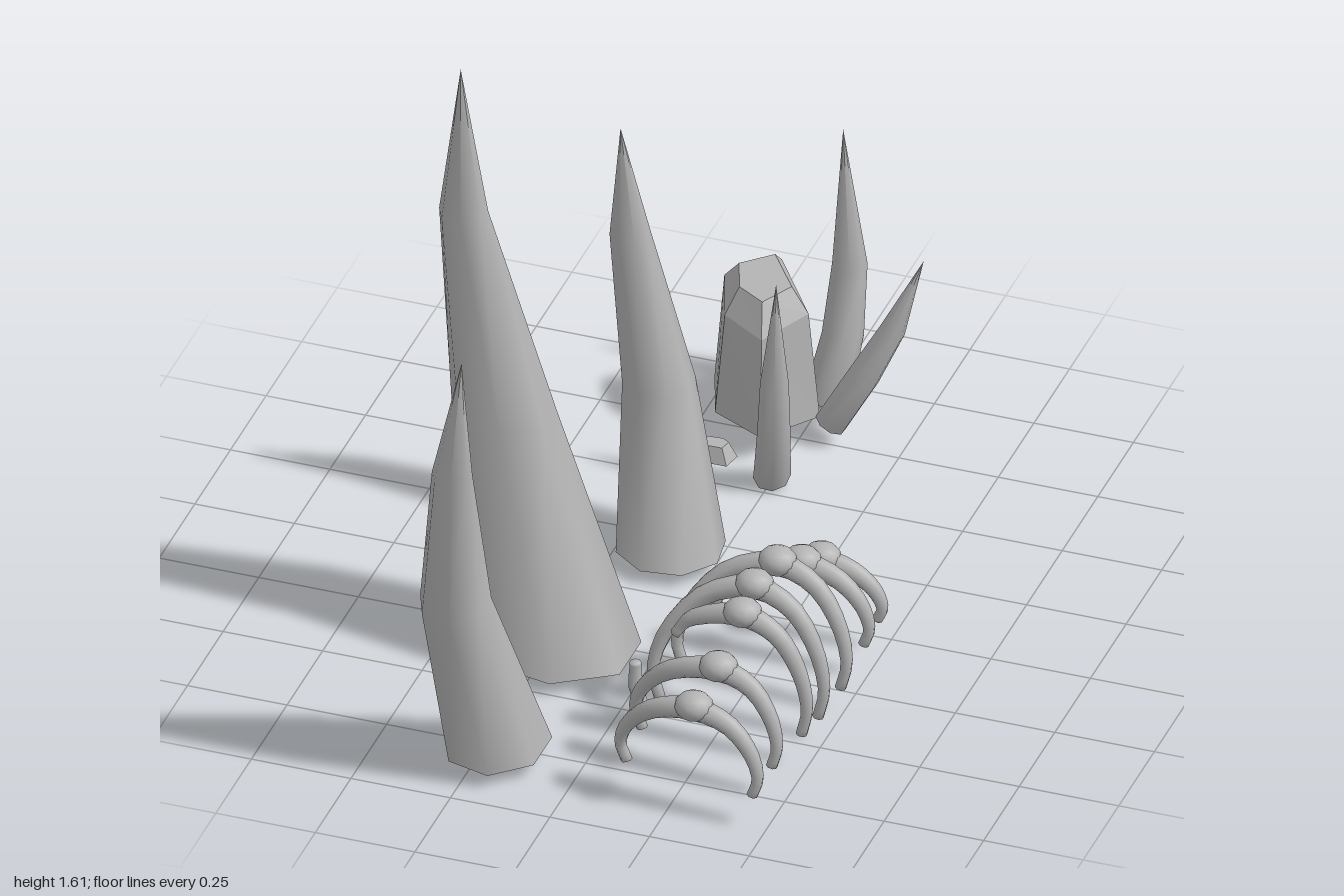
import * as THREE from 'three';

const bone = new THREE.MeshStandardMaterial({ color: 0xb4b4b4, side: THREE.DoubleSide });
bone.name = 'boneGrey';

// Skin through rings [x, y, z, rx, rz, roll about z, slope of y along z]
function loft(rings, sides, phase = Math.PI / 7) {
  const pos = [], idx = [];
  rings.forEach(([x, y, z, rx, rz, roll = 0, slope = 0], i) => {
    for (let j = 0; j < sides; j++) {
      const t = phase + (j / sides) * Math.PI * 2;
      const u = Math.cos(t) * rx, w = Math.sin(t) * rz;
      pos.push(x + u * Math.cos(roll), y + u * Math.sin(roll) + slope * w, z + w);
      if (i === rings.length - 1) continue;
      const a = i * sides + j, b = i * sides + (j + 1) % sides;
      idx.push(a, a + sides, b, b, a + sides, b + sides);
    }
  });
  const g = new THREE.BufferGeometry();
  g.setAttribute('position', new THREE.Float32BufferAttribute(pos, 3));
  g.setIndex(idx);
  g.computeVertexNormals();
  return g;
}

function add(parent, name, geometry) {
  const m = new THREE.Mesh(geometry, bone);
  m.name = name;
  parent.add(m);
  return m;
}

// Round tube along a list of points, thickest at parameter `peak`, closed at both ends
function taperedTube(points, thick, thin, peak) {
  const curve = new THREE.CatmullRomCurve3(points.map(p => new THREE.Vector3(...p)));
  const rings = [], n = 22;
  for (let i = 0; i <= n; i++) {
    const t = i / n, p = curve.getPoint(t), d = curve.getTangent(t);
    const k = Math.abs(t - peak) / (t < peak ? peak : 1 - peak || 1);
    const r = thick + (thin - thick) * Math.min(1, k * 1.3);
    const roll = Math.atan2(-d.x, d.y);
    if (i === 0) rings.push([p.x, p.y, p.z, 0, 0, roll]);
    rings.push([p.x, p.y, p.z, r, r, roll]);
    if (i === n) rings.push([p.x, p.y, p.z, 0, 0, roll]);
  }
  return loft(rings, 8);
}

// Faceted stone: base outline [x, z], shrunk and raised ring by ring
function stone(outline, cx, cz, levels) {
  const n = outline.length;
  const pts = levels.map(([s, y, slope]) => outline.map(([x, z]) =>
    [cx + (x - cx) * s, y + slope * (z - cz) * s, cz + (z - cz) * s]));
  const pos = [];
  for (let i = 0; i < pts.length - 1; i++) {
    for (let j = 0; j < n; j++) {
      const k = (j + 1) % n, a = pts[i][j], b = pts[i][k], c = pts[i + 1][j], d = pts[i + 1][k];
      pos.push(...a, ...b, ...c, ...b, ...d, ...c);
    }
  }
  const g = new THREE.BufferGeometry();
  g.setAttribute('position', new THREE.Float32BufferAttribute(pos, 3));
  g.computeVertexNormals();
  return g;
}

export function createModel() {
  const model = new THREE.Group();
  model.name = 'boneField';

  // Large hollow tusks, open at the bottom
  add(model, 'largeTusk', loft([
    [-0.225, 0.035, 0.335, 0.21, 0.175],
    [-0.375, 0.62, 0.278, 0.13, 0.11],
    [-0.467, 1.18, 0.305, 0.06, 0.058],
    [-0.455, 1.615, 0.355, 0, 0]], 7));
  add(model, 'frontTusk', loft([
    [-0.21, 0.035, 0.785, 0.128, 0.15],
    [-0.28, 0.48, 0.888, 0.086, 0.1],
    [-0.262, 0.88, 0.957, 0.05, 0.044],
    [-0.238, 1.2, 0.955, 0, 0]], 7));
  add(model, 'middleTusk', loft([
    [-0.11, 0.035, -0.155, 0.133, 0.13],
    [-0.17, 0.44, -0.24, 0.09, 0.082],
    [-0.248, 0.83, -0.255, 0.05, 0.046],
    [-0.26, 1.14, -0.222, 0, 0]], 8, 0.25));

  // Small curved horns at the back
  add(model, 'tallHorn', loft([
    [0.02, 0.025, -0.88, 0, 0],
    [0.02, 0.025, -0.88, 0.055, 0.052, -0.15, 0.45],
    [0.047, 0.2, -0.925, 0.05, 0.048, 0, 0.25],
    [0.053, 0.38, -0.957, 0.042, 0.042],
    [0.037, 0.755, -0.955, 0, 0]], 8));
  add(model, 'leaningHorn', loft([
    [0.075, 0.055, -0.76, 0, 0],
    [0.075, 0.055, -0.76, 0.04, 0.036, -0.5],
    [0.15, 0.19, -0.78, 0.04, 0.042, -0.5],
    [0.215, 0.32, -0.80, 0.032, 0.036, -0.4],
    [0.285, 0.515, -0.828, 0, 0]], 8));
  add(model, 'shortHorn', loft([
    [0.005, 0.02, -0.545, 0, 0],
    [0.005, 0.02, -0.545, 0.045, 0.042, 0, -0.37],
    [0.02, 0.16, -0.515, 0.04, 0.038, 0, -0.2],
    [0.03, 0.32, -0.492, 0.034, 0.034],
    [0.035, 0.6, -0.49, 0, 0]], 8));

  // Stones
  add(model, 'boulder', stone(
    [[-0.1, -0.94], [-0.245, -0.84], [-0.19, -0.69], [-0.05, -0.62], [0.05, -0.755]], -0.1, -0.78,
    [[0, 0.07, 0], [1, 0.07, 0], [0.8, 0.355, -0.25], [0.5, 0.415, -0.2], [0, 0.415, 0]]));
  add(model, 'pebble', stone(
    [[-0.11, -0.56], [-0.17, -0.555], [-0.18, -0.51], [-0.15, -0.49], [-0.09, -0.49], [-0.08, -0.54]], -0.13, -0.525,
    [[0, 0.06, 0], [1, 0.06, 0], [0.6, 0.1, 0], [0, 0.1, 0]]));

  // Rib cage: [x, z, top, foot, right-hand x and z, left-hand x and z, break]
  const ribs = [
    [0.345, 0.055, 0.27, 0.085, 0.495, 0.05, 0.29, 0.06, 1],
    [0.335, 0.165, 0.325, 0.09, 0.505, 0.17, 0.125, 0.185, 0],
    [0.32, 0.295, 0.40, 0.065, 0.505, 0.33, 0.09, 0.365, 0],
    [0.31, 0.43, 0.415, 0.06, 0.495, 0.46, 0.08, 0.505, 0],
    [0.33, 0.57, 0.425, 0.085, 0.495, 0.58, 0.08, 0.585, 2],
    [0.32, 0.71, 0.355, 0.085, 0.475, 0.735, 0.1, 0.68, 0],
    [0.31, 0.855, 0.33, 0.085, 0.475, 0.87, 0.115, 0.825, 0]];
  // Half-arc profile: share of the reach, share of the height
  const arc = [[0.92, 0], [1, 0.24], [0.87, 0.58], [0.52, 0.88]];

  const cage = new THREE.Group();
  cage.name = 'ribCage';
  model.add(cage);
  ribs.forEach(([x, z, top, foot, rx, rz, lx, lz, broken]) => {
    const rib = new THREE.Group();
    rib.name = 'rib';
    cage.add(rib);
    const apex = top - 0.045;
    const half = (ex, ez) => arc.map(([u, f]) =>
      [x + (ex - x) * u, foot + (apex - foot) * f, z + (ez - z) * (1 - f * f)]);
    let left = half(lx, lz);
    if (broken === 1) left = [[lx, apex - 0.005, lz]];
    if (broken === 2) left = [[0.165, apex - 0.08, 0.58], left[3]];
    const pts = [...left, [x, apex, z], ...half(rx, rz).reverse()];
    add(rib, 'ribArc', taperedTube(pts, 0.029, 0.014, left.length / (pts.length - 1)));
    // Rounded knob on the spine
    const knob = add(rib, 'vertebra', new THREE.SphereGeometry(1, 12, 8));
    knob.scale.set(0.048, 0.036, 0.044);
    knob.position.set(x, top - 0.036, z);
  });
  // Loose piece of the broken rib
  add(cage, 'ribFragment', taperedTube(
    [[0.09, 0.07, 0.585], [0.068, 0.13, 0.585], [0.066, 0.2, 0.585]], 0.018, 0.014, 0.5));

  return model;
}
